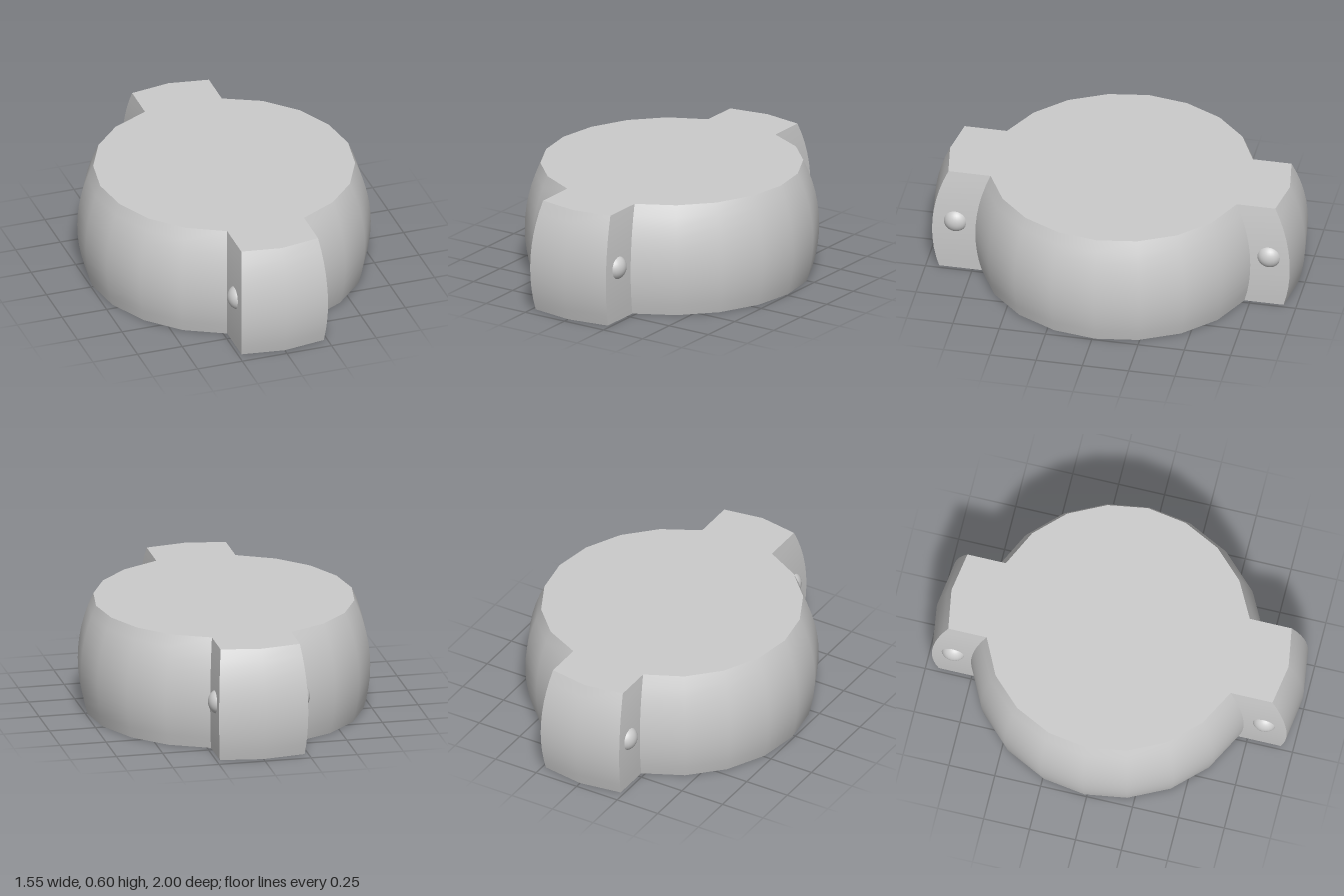
import * as THREE from 'three';
import { toCreasedNormals } from 'three/addons/utils/BufferGeometryUtils.js';

const HEIGHT = 0.6, WIDEST = 0.24, BULGE = 0.82;

// Half outline (+x side, back to front): widest [x, z], then the same corner at the top [x, z]
const HALF = [
  [0, -1, 0, -0.918],
  [0.242, -0.966, 0.215, -0.883],
  [0.242, -0.753, 0.215, -0.674],
  [0.46, -0.645, 0.412, -0.578],
  [0.63, -0.475, 0.563, -0.424],
  [0.74, -0.255, 0.66, -0.228],
  [0.775, -0.015, 0.694, -0.015],
  [0.74, 0.22, 0.66, 0.198],
  [0.63, 0.443, 0.563, 0.395],
  [0.46, 0.617, 0.412, 0.55],
  [0.242, 0.732, 0.215, 0.655],
  [0.242, 0.966, 0.215, 0.883],
  [0, 1, 0, 0.918],
];
const OUTLINE = [
  ...HALF,
  ...HALF.slice(1, -1).reverse().map(([x, z, tx, tz]) => [-x, z, -tx, tz]),
];

// Inward curve of the wall at a given height
const inset = (y) => BULGE - Math.sqrt(BULGE ** 2 - (y - WIDEST) ** 2);

// Outline [x, z] at a given height
function ring(y) {
  const t = inset(y) / inset(HEIGHT);
  return OUTLINE.map(([x, z, tx, tz]) => [x + (tx - x) * t, z + (tz - z) * t]);
}

// Bulging wall lofted through the rings
function wallGeometry(rows = 10) {
  const n = OUTLINE.length, positions = [], index = [];
  for (let r = 0; r <= rows; r++) {
    const y = (HEIGHT * r) / rows;
    for (const [x, z] of ring(y)) positions.push(x, y, z);
  }
  for (let r = 0; r < rows; r++) {
    for (let i = 0; i < n; i++) {
      const a = r * n + i, b = r * n + ((i + 1) % n);
      index.push(b, a, a + n, b, a + n, b + n);
    }
  }
  const geometry = new THREE.BufferGeometry();
  geometry.setAttribute('position', new THREE.Float32BufferAttribute(positions, 3));
  geometry.setIndex(index);
  return toCreasedNormals(geometry, 0.5);
}

// Flat cap facing up (side = 1) or down (side = -1)
function capGeometry(y, side) {
  const points = ring(y).map(([x, z]) => new THREE.Vector2(x, -side * z));
  return new THREE.ShapeGeometry(new THREE.Shape(points))
    .rotateX((-side * Math.PI) / 2)
    .translate(0, y, 0);
}

export function createModel() {
  const model = new THREE.Group();
  const material = new THREE.MeshStandardMaterial({ color: 0xcccccc });
  const add = (name, geometry) => {
    const mesh = new THREE.Mesh(geometry, material);
    mesh.name = name;
    model.add(mesh);
    return mesh;
  };

  // Round body with a tab at the front and back
  add('bodyWall', wallGeometry());
  add('bodyTop', capGeometry(HEIGHT, 1));
  add('bodyBottom', capGeometry(0, -1));

  // Domed studs on both sides of each tab
  const stud = new THREE.SphereGeometry(0.066, 24, 16);
  for (const [end, z] of [['front', 0.842], ['back', -0.852]]) {
    for (const [side, sign] of [['Left', 1], ['Right', -1]]) {
      const mesh = add(`${end}${side}Stud`, stud);
      mesh.position.set(sign * 0.22, 0.3, z);
      mesh.scale.x = 0.84;
    }
  }
  return model;
}
